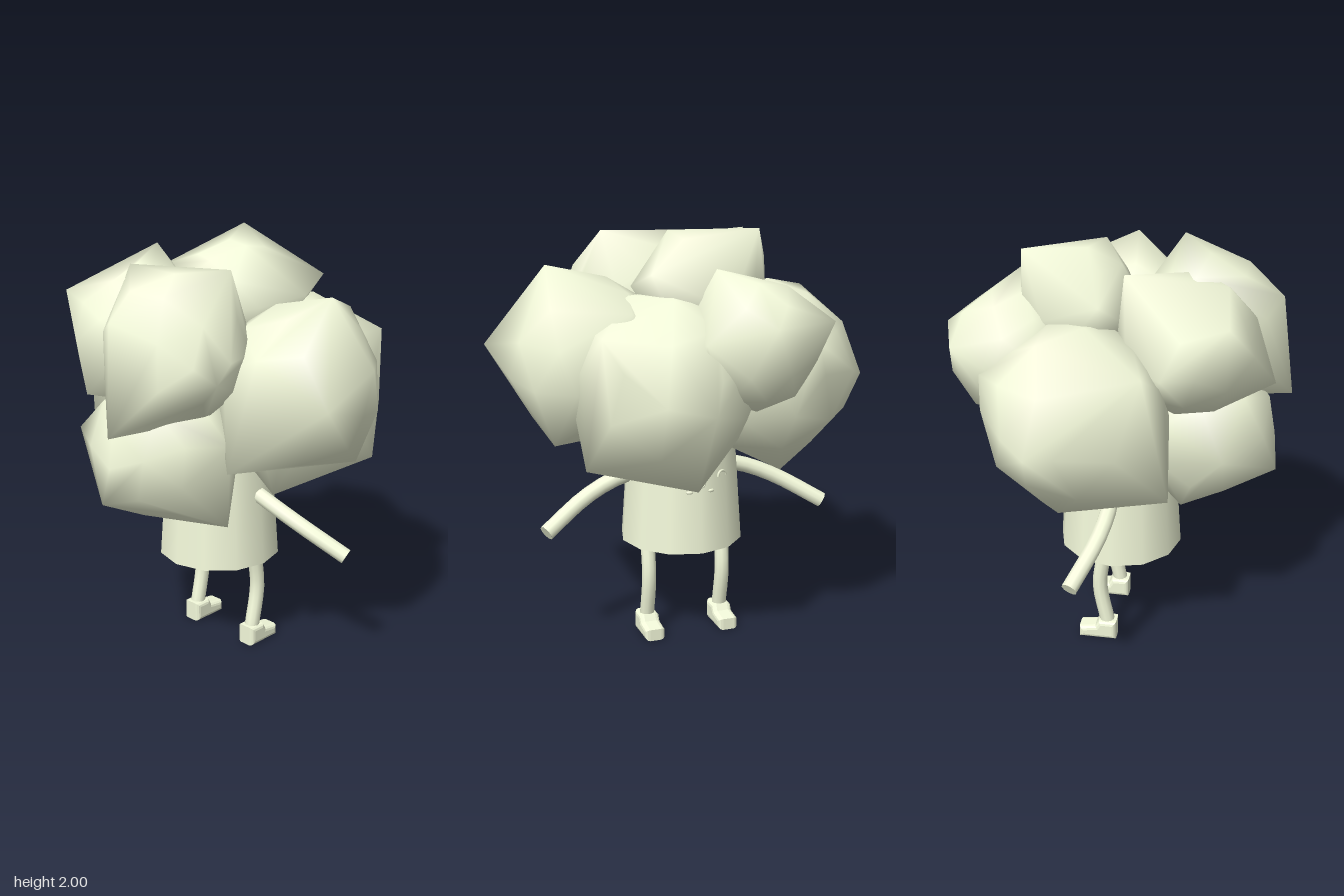
import * as THREE from 'three';
import { mergeVertices } from 'three/addons/utils/BufferGeometryUtils.js';
import { ConvexGeometry } from 'three/addons/geometries/ConvexGeometry.js';

const mat = new THREE.MeshStandardMaterial({ color: 0xf4fadb });
const AXIS = -0.045; // the body stands slightly off centre

function add(parent, name, geometry) {
  const mesh = new THREE.Mesh(geometry, mat);
  mesh.name = name;
  parent.add(mesh);
  return mesh;
}

// Smooth-shaded faceted lump: an icosphere stretched over a few sharp corners
function lump(center, radius, corners, turn) {
  const ball = new THREE.IcosahedronGeometry(radius, 1);
  ball.rotateY(turn).rotateX(turn * 0.7).translate(...center);
  ball.deleteAttribute('normal');
  ball.deleteAttribute('uv');
  const pos = mergeVertices(ball, 1e-4).attributes.position;
  const points = corners.map((c) => new THREE.Vector3(...c));
  for (let i = 0; i < pos.count; i++) points.push(new THREE.Vector3().fromBufferAttribute(pos, i));
  const hull = new ConvexGeometry(points);
  hull.deleteAttribute('normal');
  const smooth = mergeVertices(hull, 1e-4);
  smooth.computeVertexNormals();
  return smooth;
}

// Bent limb with closed ends
function limb(parent, name, points, radius) {
  const curve = new THREE.CatmullRomCurve3(points.map((p) => new THREE.Vector3(...p)));
  add(parent, name, new THREE.TubeGeometry(curve, 8, radius, 10));
  [0, 1].forEach((t) => {
    const cap = add(parent, name + 'End', new THREE.CircleGeometry(radius, 10));
    const dir = curve.getTangent(t).multiplyScalar(t ? 1 : -1);
    cap.position.copy(curve.getPoint(t));
    cap.quaternion.setFromUnitVectors(new THREE.Vector3(0, 0, 1), dir);
  });
}

// Shoe: side profile extruded across the foot, with rounded edges
function shoe() {
  const s = new THREE.Shape();
  s.moveTo(0.008, 0.02);
  s.lineTo(0.152, 0.02);
  s.lineTo(0.152, 0.04);
  s.lineTo(0.08, 0.05);
  s.lineTo(0.064, 0.078);
  s.lineTo(0.008, 0.078);
  const g = new THREE.ExtrudeGeometry(s, {
    depth: 0.056, bevelEnabled: true, bevelThickness: 0.022, bevelSize: 0.02, bevelSegments: 3,
  });
  return g.translate(0, 0, -0.028).rotateY(Math.PI / 2);
}

export function createModel() {
  const model = new THREE.Group();
  model.name = 'figure';

  // Leafy crown: name, centre, radius, sharp corners
  const crown = new THREE.Group();
  crown.name = 'crown';
  model.add(crown);
  const lumps = [
    ['frontUpperLump', [0.07, 1.58, 0.39], 0.335,
      [[0.27, 1.94, 0.25], [0.43, 1.51, 0.5], [0.06, 1.26, 0.79], [-0.25, 1.91, 0.36], [0.02, 1.75, 0.73]]],
    ['frontRightLump', [-0.21, 1.59, 0.33], 0.32,
      [[-0.38, 1.95, 0.07], [-0.56, 1.55, 0.25], [-0.5, 1.78, 0.53], [-0.15, 1.4, 0.72]]],
    ['frontLowerLump', [-0.02, 1.12, 0.38], 0.345,
      [[-0.05, 0.91, 0.74], [-0.2, 0.76, 0.31], [0.3, 0.77, 0.3], [-0.45, 1.13, 0.52], [0.39, 1.2, 0.38]]],
    ['leftLump', [0.42, 1.4, -0.03], 0.375,
      [[0.84, 1.43, 0.27], [0.61, 1.83, -0.02], [0.43, 1.1, 0.44], [0.35, 1.67, -0.48], [0.63, 1.04, -0.2]]],
    ['rightLump', [-0.42, 1.31, -0.14], 0.42,
      [[-0.85, 1.28, -0.28], [-0.75, 1.64, 0.2], [-0.47, 0.82, -0.22], [-0.6, 1.0, 0.3], [-0.5, 1.5, -0.55]]],
    ['backLump', [0.15, 1.31, -0.3], 0.43,
      [[0.08, 1.27, -0.79], [0.5, 1.58, -0.53], [0.55, 0.98, -0.43], [0.03, 0.83, -0.44], [0.35, 0.87, 0.05]]],
    ['backUpperLump', [-0.21, 1.5, -0.46], 0.3,
      [[-0.04, 1.84, -0.46], [0.08, 1.55, -0.66], [-0.2, 1.62, -0.77], [-0.51, 1.62, -0.67]]],
    ['topLump', [-0.09, 1.7, -0.18], 0.275,
      [[-0.26, 2, -0.4], [0.05, 1.97, -0.08], [0.28, 1.75, -0.24], [0.24, 1.82, -0.41], [-0.45, 1.82, -0.03]]],
  ];
  lumps.forEach(([name, c, r, corners], i) => add(crown, name, lump(c, r, corners, i * 0.8)));

  // Stalk
  const body = new THREE.Group();
  body.name = 'body';
  body.position.x = AXIS;
  model.add(body);
  add(body, 'stalk', new THREE.CylinderGeometry(0.255, 0.297, 0.6, 12)).position.y = 0.772;

  // Small face details on the stalk, on the side the feet point to
  const onStalk = (name, geo, angle, y) => {
    const mesh = add(body, name, geo);
    const r = 0.292 - 0.07 * (y - 0.475);
    mesh.position.set(Math.sin(angle) * r, y, -Math.cos(angle) * r);
    mesh.rotation.y = Math.PI - angle;
  };
  onStalk('mouth', new THREE.TorusGeometry(0.022, 0.005, 6, 10, Math.PI).rotateZ(Math.PI), 0, 0.81);

  // Mirrored arms, legs, shoes, eyes and cheeks
  for (const s of [1, -1]) {
    const side = s > 0 ? 'left' : 'right';
    limb(body, side + 'Arm', [[0.2 * s, 0.83, -0.01], [0.34 * s, 0.79, -0.005], [0.49 * s, 0.725, -0.03], [0.705 * s, 0.6, -0.115]], 0.038);
    limb(body, side + 'Leg', [[0.19 * s, 0.5, -0.045], [0.19 * s, 0.3, -0.073], [0.19 * s, 0.08, -0.035]], 0.036);
    add(body, side + 'Shoe', shoe()).position.x = 0.19 * s;
    onStalk(side + 'Eye', new THREE.TorusGeometry(0.025, 0.006, 6, 10, Math.PI), s * 0.45, 0.83);
    onStalk(side + 'Cheek', new THREE.SphereGeometry(0.012, 8, 6).scale(1.4, 0.7, 0.5), s * 0.2, 0.77);
  }
  return model;
}
